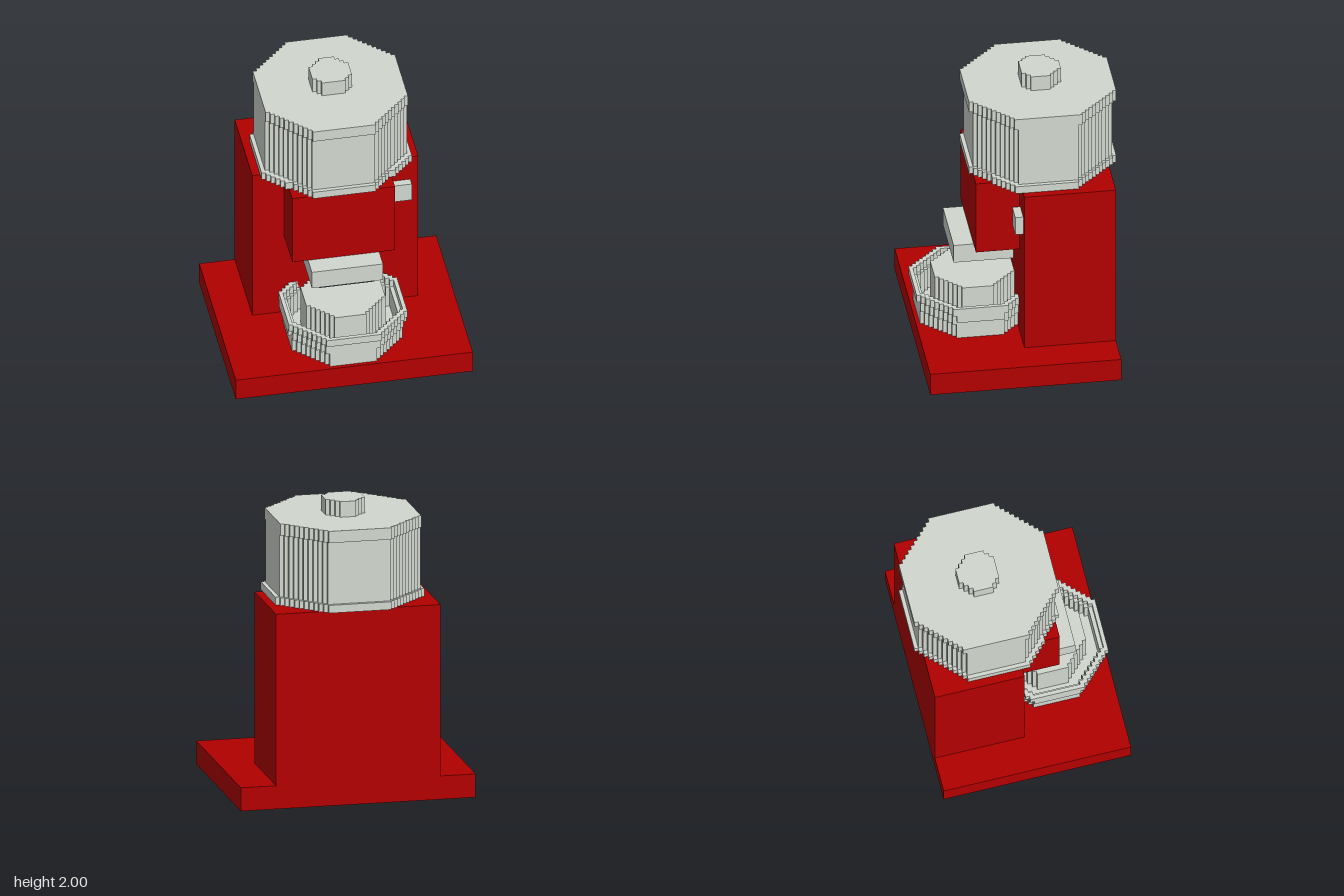
import * as THREE from 'three';

const U = 2 / 75; // one grid step

const red = new THREE.MeshStandardMaterial({ color: 0xb20000 });
red.name = 'red body';
const grey = new THREE.MeshStandardMaterial({ color: 0xd1d7cf });
grey.name = 'light grey metal';
const dark = new THREE.MeshStandardMaterial({ color: 0x424b50 });
dark.name = 'dark slate';

// Outline of an octagon whose diagonals are stairs on the grid.
// hx: half width, fx: half length of the back flat (and front flat, unless
// frontFx is given), z0..z1: depth range, s0..s1: depth range of the side flats.
function steppedOctagon([hx, fx, z0, z1, s0, s1, frontFx = fx]) {
  const stairs = (sideZ, endX, endZ) => {
    const n = Math.max(hx - endX, Math.abs(endZ - sideZ));
    const at = (i) => [
      Math.round(hx + ((endX - hx) * i) / n),
      Math.round(sideZ + ((endZ - sideZ) * i) / n),
    ];
    const pts = [at(0)];
    for (let i = 0; i < n; i++) {
      const [x, z] = at(i);
      const [nx, nz] = at(i + 1);
      if (nx !== x) pts.push([nx, z]);
      if (nz !== z) pts.push([nx, nz]);
    }
    return pts;
  };
  // Counter-clockwise: right side front to back, then left side back to front
  const right = [...stairs(s1, frontFx, z1).reverse(), ...stairs(s0, fx, z0)];
  const left = right.map(([x, z]) => [-x, z]).reverse();
  return [...right, ...left].map(([x, z]) => new THREE.Vector2(x * U, -z * U));
}

export function createModel() {
  const model = new THREE.Group();
  model.name = 'coffeeGrinder';

  const add = (name, geometry, material, parent = model) => {
    const mesh = new THREE.Mesh(geometry, material);
    mesh.name = name;
    parent.add(mesh);
  };

  // Box from its ranges in grid steps
  const box = (name, material, [x0, x1], [y0, y1], [z0, z1]) => {
    const g = new THREE.BoxGeometry((x1 - x0) * U, (y1 - y0) * U, (z1 - z0) * U);
    g.translate(((x0 + x1) / 2) * U, ((y0 + y1) / 2) * U, ((z0 + z1) / 2) * U);
    add(name, g, material);
  };

  // Upright stepped octagon, optionally hollow
  const prism = (name, y0, y1, outline, hole, parent) => {
    const shape = new THREE.Shape(steppedOctagon(outline));
    if (hole) shape.holes.push(new THREE.Path(steppedOctagon(hole)));
    const g = new THREE.ExtrudeGeometry(shape, { depth: (y1 - y0) * U, bevelEnabled: false });
    g.rotateX(-Math.PI / 2);
    g.translate(0, y0 * U, 0);
    add(name, g, grey, parent);
  };

  // Body
  box('base', red, [-30, 30], [0, 6], [-23, 25]);
  box('column', red, [-21, 21], [6, 50], [-23, 0]);
  box('head', red, [-13, 13], [30, 50], [0, 11]);
  box('powerButton', grey, [14, 19], [38, 43], [0, 2]);

  // Spout under the head
  box('spout', grey, [-9, 9], [25, 30], [1, 16]);
  box('spoutOutlet', dark, [-7, 7], [24, 25], [2, 15]);

  // Hopper with lid and knob
  const hopper = new THREE.Group();
  hopper.name = 'hopper';
  model.add(hopper);
  prism('hopperCollar', 50, 52, [19, 8, -25, 12, -14, 2], null, hopper);
  prism('hopperBody', 52, 68, [18, 8, -24, 11, -14, 1], null, hopper);
  prism('hopperLid', 68, 71, [18, 8, -25, 12, -15, 2], null, hopper);
  prism('lidKnob', 71, 75, [5, 2, -12, -2, -9, -4, 3], null, hopper);

  // Flared bowl, partly sunk into the column, with a raised inner cup
  const bowl = new THREE.Group();
  bowl.name = 'bowl';
  model.add(bowl);
  const inner = [13, 6, -3, 23, 4, 16];
  prism('bowlFloor', 6, 7, inner, null, bowl);
  prism('bowlLowerWall', 6, 10, [14, 6, -4, 24, 4, 16], inner, bowl);
  prism('bowlMiddleWall', 10, 11, [14, 7, -4, 24, 3, 17], inner, bowl);
  prism('bowlUpperWall', 11, 13, [15, 7, -4, 24, 4, 16], inner, bowl);
  prism('bowlRim', 13, 15, [15, 7, -5, 25, 3, 17], [14, 6, -4, 24, 4, 16], bowl);
  prism('innerCup', 7, 18, [10, 4, 0, 20, 6, 14], null, bowl);

  return model;
}
